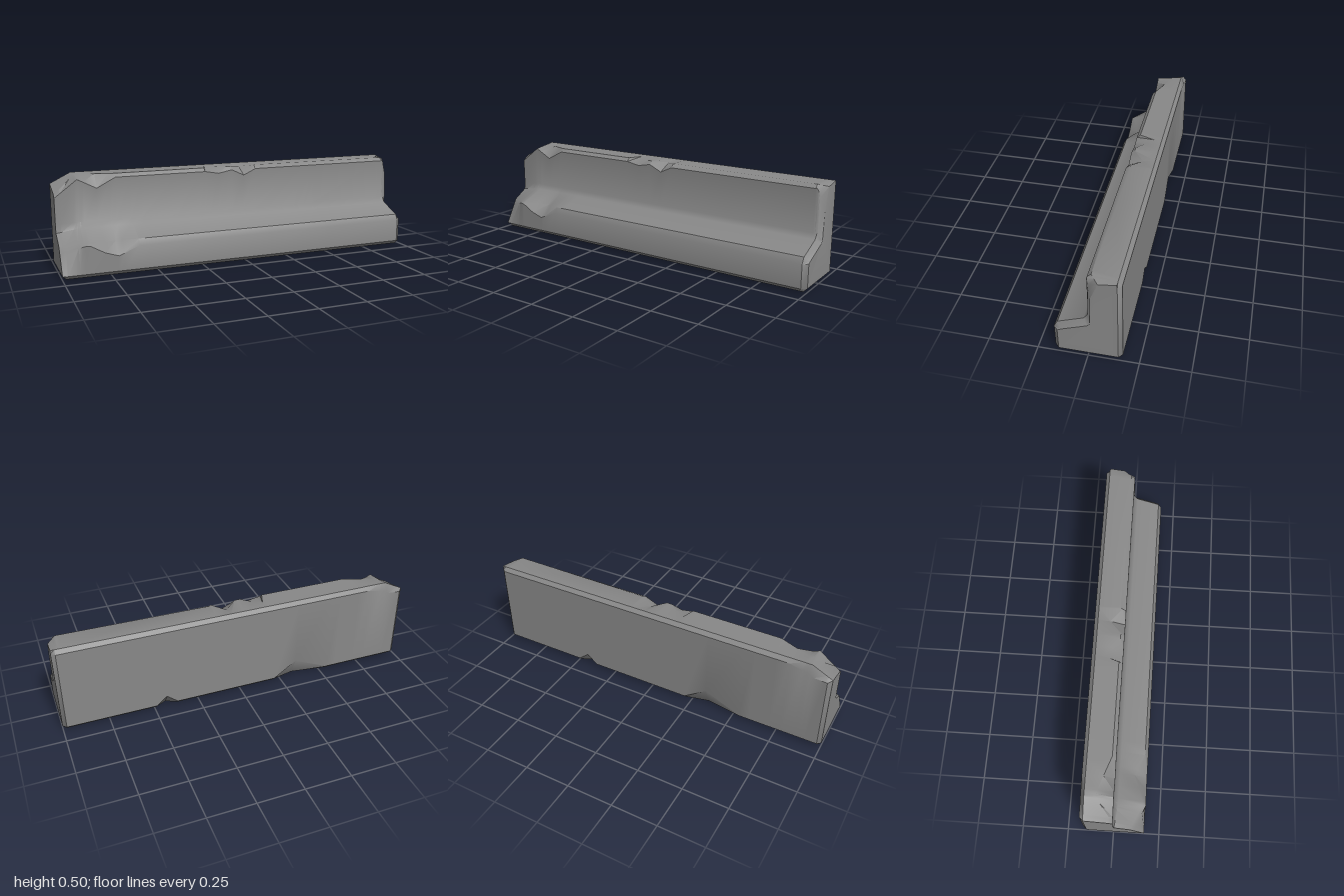
import * as THREE from 'three';
import { toCreasedNormals } from 'three/addons/utils/BufferGeometryUtils.js';

// Intact cross-section as [z, y]: front bottom, up over the step, back down
const PROFILE = [
  [0.147, 0], [0.167, 0.02], [0.167, 0.146], [0.149, 0.178], [0.02, 0.23], [0, 0.257],
  [0, 0.482], [-0.02, 0.5], [-0.147, 0.5], [-0.167, 0.48], [-0.167, 0.02], [-0.147, 0],
];

// A chip pushes some profile points by (dz, dy), strongest at peak and fading to from and to
const chip = (points, from, peak, to, dz, dy) => ({ points, from, peak, to, dz, dy });

const CHIPS = [
  // broken left end: top corner, then step corner
  chip([6, 7], -1, -1, -0.88, 0, -0.09),
  chip([8, 9], -1, -1, -0.89, 0, -0.055),
  chip([7], -0.97, -0.88, -0.68, -0.075, -0.004),
  chip([9], -0.98, -0.91, -0.78, 0, -0.03),
  chip([6], -0.88, -0.78, -0.68, 0, -0.052),
  chip([2, 3], -1, -1, -0.87, -0.06, -0.02),
  chip([4], -1, -1, -0.87, -0.015, -0.022),
  // ridge and dent in the step edge
  chip([2], -1, -0.87, -0.78, 0, 0.022),
  chip([2], -0.85, -0.71, -0.6, 0, -0.045),
  chip([3], -0.85, -0.71, -0.6, -0.05, -0.012),
  // top front edge
  chip([7], -0.18, -0.15, -0.05, -0.085, -0.002),
  chip([6], -0.18, -0.1, -0.03, 0, -0.014),
  chip([6], -0.02, 0.05, 0.12, 0, -0.033),
  chip([7], -0.02, 0.05, 0.12, -0.06, -0.012),
  chip([7], 0.12, 0.13, 0.93, -0.01, 0),
  // bottom edge of the back
  chip([10], -0.54, -0.34, -0.21, 0, 0.09),
  chip([11], -0.54, -0.34, -0.21, 0.03, 0),
  chip([10], 0.37, 0.43, 0.49, 0, 0.05),
  chip([11], 0.37, 0.43, 0.49, 0.03, 0),
  // chamfer around the right end
  chip([1, 2], 0.975, 1, 1, -0.022, 0),
  chip([3, 4], 0.975, 1, 1, -0.022, -0.022),
  chip([5], 0.975, 1, 1, -0.015, -0.037),
  chip([6], 0.965, 1, 1, -0.022, -0.092),
  chip([7], 0.955, 1, 1, -0.04, -0.014),
];

function fade({ from, peak, to }, x) {
  if (x === peak) return 1;
  if (x <= from || x >= to) return 0;
  return x < peak ? (x - from) / (peak - from) : (to - x) / (to - peak);
}

// Cross-section at x, with chips applied and the bottom and back edges bevelled at both ends
function sectionAt(x) {
  return PROFILE.map(([z0, y0], j) => {
    let z = z0, y = y0;
    for (const c of CHIPS) {
      if (!c.points.includes(j)) continue;
      z += c.dz * fade(c, x);
      y += c.dy * fade(c, x);
    }
    if (Math.abs(x) === 1) {
      z = Math.max(z, -0.148);
      y = Math.max(y, 0.02);
    }
    return new THREE.Vector3(x, y, z);
  });
}

function barrierGeometry() {
  // one section wherever a chip starts, peaks or ends
  const stations = new Set([-1, -0.98, 0.98, 1]);
  CHIPS.forEach((c) => [c.from, c.peak, c.to].forEach((x) => stations.add(x)));
  const rings = [...stations].sort((a, b) => a - b).map(sectionAt);

  const out = [];
  const tri = (...corners) => corners.forEach((v) => out.push(v.x, v.y, v.z));

  // skin between neighbouring sections
  for (let i = 0; i < rings.length - 1; i++) {
    for (let j = 0; j < PROFILE.length; j++) {
      const k = (j + 1) % PROFILE.length;
      tri(rings[i][j], rings[i + 1][j], rings[i + 1][k]);
      tri(rings[i][j], rings[i + 1][k], rings[i][k]);
    }
  }

  // end faces
  const cap = (ring, flip) => {
    const outline = ring.map((v) => new THREE.Vector2(v.z, v.y));
    for (const [a, b, c] of THREE.ShapeUtils.triangulateShape(outline, [])) {
      if (flip) tri(ring[a], ring[c], ring[b]);
      else tri(ring[a], ring[b], ring[c]);
    }
  };
  cap(rings[0], false);
  cap(rings[rings.length - 1], true);

  const geometry = new THREE.BufferGeometry();
  geometry.setAttribute('position', new THREE.Float32BufferAttribute(out, 3));
  return toCreasedNormals(geometry, 0.66);
}

export function createModel() {
  const group = new THREE.Group();
  group.name = 'concreteBarrier';
  const body = new THREE.Mesh(barrierGeometry(), new THREE.MeshStandardMaterial({ color: 0x888888 }));
  body.name = 'chippedBarrierBody';
  group.add(body);
  return group;
}
